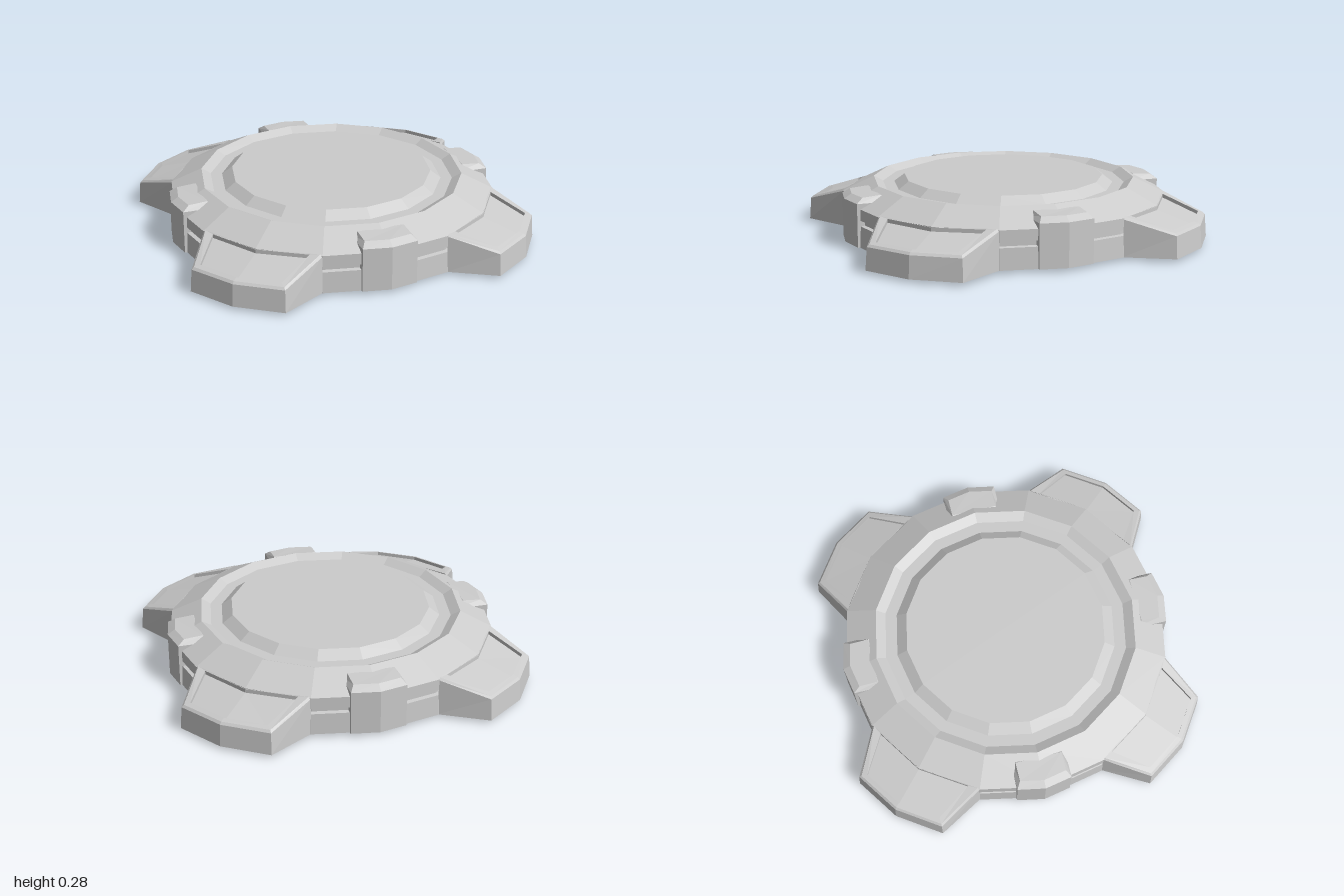
import * as THREE from 'three';

const material = new THREE.MeshStandardMaterial({ color: 0xcccccc, flatShading: true });

// Joins closed loops of [x, y, z] points, bottom to top, and caps both ends
// with fans around the last point of the loop.
function loft(loops) {
  const n = loops[0].length;
  const last = (loops.length - 1) * n;
  const index = [];
  for (let l = 0; l < loops.length - 1; l++) {
    for (let i = 0; i < n; i++) {
      const a = l * n + i, b = l * n + (i + 1) % n;
      index.push(a, b, b + n, a, b + n, a + n);
    }
  }
  for (let i = 0; i < n - 2; i++) {
    index.push(n - 1, i + 1, i);
    index.push(last + n - 1, last + i, last + i + 1);
  }
  const geometry = new THREE.BufferGeometry();
  geometry.setAttribute('position', new THREE.Float32BufferAttribute(loops.flat(2), 3));
  geometry.setIndex(index);
  geometry.computeVertexNormals();
  return geometry;
}

// Mirrors half a foot outline (corner, shoulder, tip, inner point) into a loop.
function footLoop(corner, shoulder, tip, inner) {
  const flip = ([x, y, z]) => [-x, y, z];
  return [flip(corner), flip(shoulder), tip, shoulder, corner, inner];
}

// Loop of a corner block: half width, inner and outer depth, depth at the middle ridge.
function blockLoop(w, y, yInner, inner, outer, ridge) {
  return [[-w, yInner, inner], [-w, y, outer], [0, y, ridge], [w, y, outer], [w, yInner, inner]];
}

export function createModel() {
  const model = new THREE.Group();
  model.name = 'roundBase';

  function add(name, geometry, angle = 0) {
    const mesh = new THREE.Mesh(geometry, material);
    mesh.name = name;
    mesh.rotation.y = angle;
    model.add(mesh);
  }

  // Sixteen-sided body: grooved wall, sloped shoulder, ring channel, raised top disc
  const profile = [
    [0, 0], [0.785, 0.015], [0.78, 0.115], [0.76, 0.118], [0.76, 0.138], [0.78, 0.142],
    [0.78, 0.195], [0.63, 0.268], [0.585, 0.243], [0.53, 0.243], [0.48, 0.28], [0, 0.28],
  ].map(([r, y]) => new THREE.Vector2(r, y));
  add('body', new THREE.LatheGeometry(profile, 16));

  // Foot: flared sides, small top bevel, sloping rim and a sunken panel
  const foot = loft([
    footLoop([0.30, 0.015, 0.72], [0.235, 0.015, 0.955], [0, 0.015, 1.0], [0, 0.015, 0.77]),
    footLoop([0.297, 0.19, 0.72], [0.23, 0.12, 0.948], [0, 0.12, 0.992], [0, 0.18, 0.77]),
    footLoop([0.288, 0.201, 0.72], [0.222, 0.131, 0.94], [0, 0.131, 0.982], [0, 0.194, 0.77]),
    footLoop([0.242, 0.196, 0.733], [0.2, 0.139, 0.922], [0, 0.138, 0.96], [0, 0.192, 0.782]),
    footLoop([0.242, 0.178, 0.733], [0.2, 0.122, 0.922], [0, 0.121, 0.96], [0, 0.174, 0.782]),
  ]);

  // Corner block with a bevelled top that runs into the shoulder
  const block = loft([
    blockLoop(0.13, 0.015, 0.015, 0.6, 0.77, 0.795),
    blockLoop(0.13, 0.222, 0.222, 0.6, 0.77, 0.795),
    blockLoop(0.11, 0.245, 0.252, 0.65, 0.738, 0.76),
  ]);

  for (let k = 0; k < 4; k++) {
    const angle = k * Math.PI / 2;
    add('foot', foot, angle);
    add('cornerBlock', block, angle + Math.PI / 4);
  }
  return model;
}
